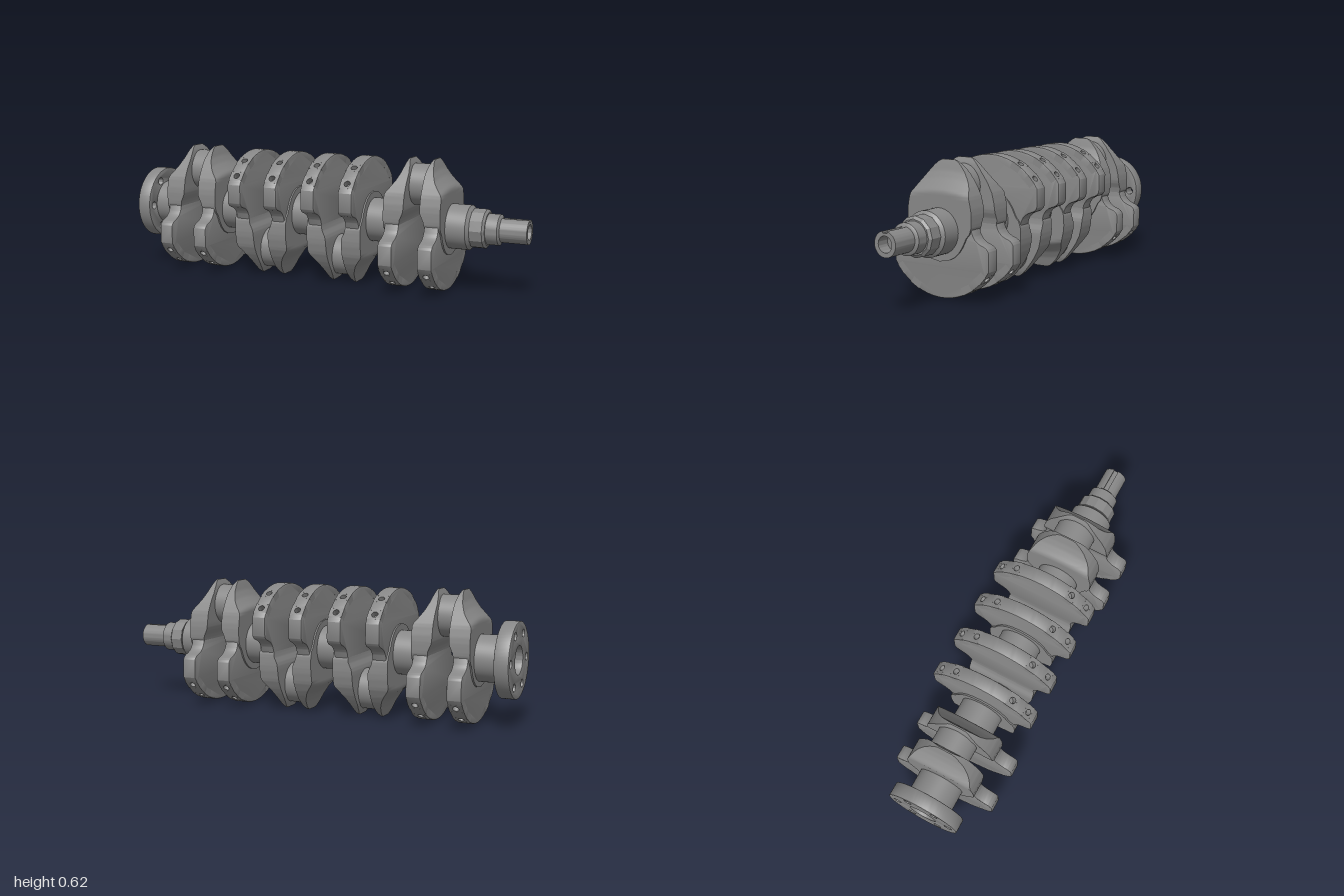
import * as THREE from 'three';
import { toCreasedNormals } from 'three/addons/utils/BufferGeometryUtils.js';

const AXIS_Y = 0.312;
const steel = new THREE.MeshStandardMaterial({ color: 0x888888 });
steel.name = 'steel grey';

function part(name, geometry, parent, crease = 0.6) {
  const mesh = new THREE.Mesh(toCreasedNormals(geometry, crease), steel);
  mesh.name = name;
  parent.add(mesh);
  return mesh;
}

// Cylinder lying along x from x0 to x1
function bar(x0, x1, r0, r1 = r0, sides = 48) {
  return new THREE.CylinderGeometry(r1, r0, x1 - x0, sides)
    .rotateZ(-Math.PI / 2).translate((x0 + x1) / 2, 0, 0);
}

// Shape drawn in the cross-section plane, extruded along +x from x0
function slab(shape, x0, depth, bevel = 0) {
  return new THREE.ExtrudeGeometry(shape, {
    depth: depth - 2 * bevel, bevelEnabled: bevel > 0, bevelSize: bevel, bevelOffset: -bevel,
    bevelThickness: bevel, bevelSegments: 2, curveSegments: 32,
  }).rotateY(Math.PI / 2).translate(x0 + bevel, 0, 0);
}

function circleHole(x, y, r) {
  return new THREE.Path().absarc(x, y, r, 0, Math.PI * 2, true);
}

// Piecewise linear lookup in [key, value] pairs
function lookup(table, t) {
  if (t <= table[0][0]) return table[0][1];
  for (let i = 1; i < table.length; i++) {
    const [a, va] = table[i - 1], [b, vb] = table[i];
    if (t <= b) return va + (vb - va) * (t - a) / (b - a);
  }
  return table[table.length - 1][1];
}

const R = 0.305, HOLE_ANGLES = [0.506, 0.846], NOTCH = 0.072;

// Counterweight outline: rim arc with pockets for the drilled blocks, then a waist
function counterweightShape() {
  const half = [];
  const polar = (a, r) => half.push(new THREE.Vector2(r * Math.sin(a), -r * Math.cos(a)));
  const arc = (a, b) => { for (let i = 0; i <= 8; i++) polar(a + (b - a) * i / 8, R); };
  let start = 0;
  for (const a of HOLE_ANGLES) {
    arc(start, a - NOTCH);
    polar(a - NOTCH, 0.275);
    polar(a + NOTCH, 0.275);
    start = a + NOTCH;
  }
  arc(start, 1.02);
  const waist = new THREE.Path();
  waist.moveTo(0.26, -0.08);
  waist.quadraticCurveTo(0.259, -0.058, 0.232, -0.047);
  waist.bezierCurveTo(0.195, -0.036, 0.18, -0.02, 0.171, 0.01);
  waist.lineTo(0.168, 0.04);
  waist.lineTo(0.14, 0.09);
  half.push(...waist.getPoints(10));
  const mirrored = half.slice(1).reverse().map(p => new THREE.Vector2(-p.x, p.y));
  return new THREE.Shape([...half, ...mirrored]);
}

// Lobe tables, by height above the shaft axis
const LOBE_WIDTH = [[-0.137, 0], [-0.13, 0.045], [-0.115, 0.078], [-0.09, 0.106], [-0.06, 0.127],
  [-0.02, 0.146], [0, 0.164], [0.03, 0.174], [0.08, 0.175], [0.11, 0.172], [0.158, 0.161],
  [0.2, 0.14], [0.23, 0.12], [0.265, 0.093], [0.29, 0.069], [0.305, 0.05], [0.312, 0.035]];
const LOBE_OUTER = [[0.172, 0.139], [0.185, 0.134], [0.205, 0.115], [0.231, 0.094],
  [0.263, 0.0775], [0.3, 0.067], [0.312, 0.063]];
const LOBE_INNER = [[0, 0.064], [0.04, 0.058], [0.075, 0.042], [0.1, 0.04], [0.25, 0.04],
  [0.285, 0.046], [0.312, 0.057]];

// Web lobe: lofted in rows, scooped away on the outer face above the pin
function lobeGeometry() {
  const rows = 56, cols = 14, ring = 2 * (cols + 1);
  const pos = [], idx = [];
  for (let i = 0; i <= rows + 1; i++) {
    const t = Math.min(i / rows, 1);
    const y = -0.137 + 0.449 * t;
    const w = i > rows ? 0 : lookup(LOBE_WIDTH, y);
    for (let j = 0; j <= cols; j++) {
      const z = w * (1 - 2 * j / cols);
      pos.push(lookup(LOBE_OUTER, y + 0.8 * z * z), y, z);
    }
    for (let j = 0; j <= cols; j++) pos.push(lookup(LOBE_INNER, y), y, w * (2 * j / cols - 1));
  }
  for (let i = 0; i <= rows; i++) {
    for (let j = 0; j < ring; j++) {
      const k = (j + 1) % ring;
      const a = i * ring + j, b = i * ring + k, c = b + ring, d = a + ring;
      idx.push(a, b, c, a, c, d);
    }
  }
  const g = new THREE.BufferGeometry();
  g.setAttribute('position', new THREE.Float32BufferAttribute(pos, 3));
  g.setIndex(idx);
  return g;
}

// Small rim block with a drilled balancing hole
function drilledBlock(angle) {
  const s = new THREE.Shape();
  s.moveTo(-0.026, -0.0345);
  s.lineTo(0.026, -0.0345);
  s.lineTo(0.026, 0.0345);
  s.lineTo(-0.026, 0.0345);
  s.holes.push(circleHole(0, 0, 0.015));
  return new THREE.ExtrudeGeometry(s, { depth: 0.034, bevelEnabled: false, curveSegments: 10 })
    .translate(0, 0, 0.27).rotateX(Math.PI / 2).rotateY(Math.PI / 2)
    .translate(0.0965, 0, 0).rotateX(angle);
}

function makeWeb() {
  const web = new THREE.Group();
  web.name = 'crankWeb';
  part('counterweight', slab(counterweightShape(), 0.0615, 0.07, 0.006), web);
  part('webLobe', lobeGeometry(), web);
  for (const a of HOLE_ANGLES) {
    for (const side of [-1, 1]) part('drilledRimBlock', drilledBlock(a * side), web);
  }
  return web;
}

export function createModel() {
  const model = new THREE.Group();
  model.name = 'crankshaft';
  const shaft = new THREE.Group();
  shaft.name = 'shaft';
  shaft.position.y = AXIS_Y;
  model.add(shaft);

  // Four throws: outer pins up, inner pins down
  for (let i = 0; i < 4; i++) {
    const x = -0.684 + 0.392 * i;
    const crank = new THREE.Group();
    crank.name = 'crankThrow';
    crank.position.x = x;
    if (i === 1 || i === 2) crank.rotation.x = Math.PI;
    part('crankPin', bar(-0.07, 0.07, 0.098).translate(0, 0.187, 0), crank);
    for (const turn of [0, Math.PI]) {
      const web = makeWeb();
      web.rotation.y = turn;
      crank.add(web);
    }
    shaft.add(crank);
    if (i < 3) part('mainJournal', bar(x + 0.12, x + 0.272, 0.105), shaft);
  }

  // Rear flange with bolt holes and pilot bore
  const flange = new THREE.Shape().absarc(0, 0, 0.178, 0, Math.PI * 2);
  flange.holes.push(circleHole(0, 0, 0.066));
  for (let i = 0; i < 6; i++) {
    const a = i * Math.PI / 3;
    flange.holes.push(circleHole(0.134 * Math.cos(a), 0.134 * Math.sin(a), 0.018));
  }
  part('flange', slab(flange, -1, 0.068, 0.004), shaft);
  part('rearJournal', bar(-0.935, -0.81, 0.11), shaft);

  // Stepped front nose
  part('frontJournal', bar(0.61, 0.725, 0.105), shaft);
  part('journalChamfer', bar(0.725, 0.74, 0.105, 0.085), shaft);
  part('collar', bar(0.74, 0.8, 0.093, 0.093, 12), shaft, 0.3);
  part('collarChamfer', bar(0.8, 0.81, 0.093, 0.08, 12), shaft, 0.3);
  part('noseStep', bar(0.81, 0.865, 0.072), shaft);
  part('noseStepChamfer', bar(0.865, 0.873, 0.072, 0.06), shaft);

  // Nose end with keyway and bore
  const nose = new THREE.Shape();
  const gap = 0.2;
  nose.absarc(0, 0, 0.057, Math.PI / 2 + gap, Math.PI * 2.5 - gap);
  nose.lineTo(0.0113, 0.047);
  nose.lineTo(-0.0113, 0.047);
  nose.holes.push(circleHole(0, 0, 0.036));
  part('noseEnd', slab(nose, 0.87, 0.13), shaft);
  part('boreFloor', bar(0.87, 0.94, 0.037), shaft);

  return model;
}
